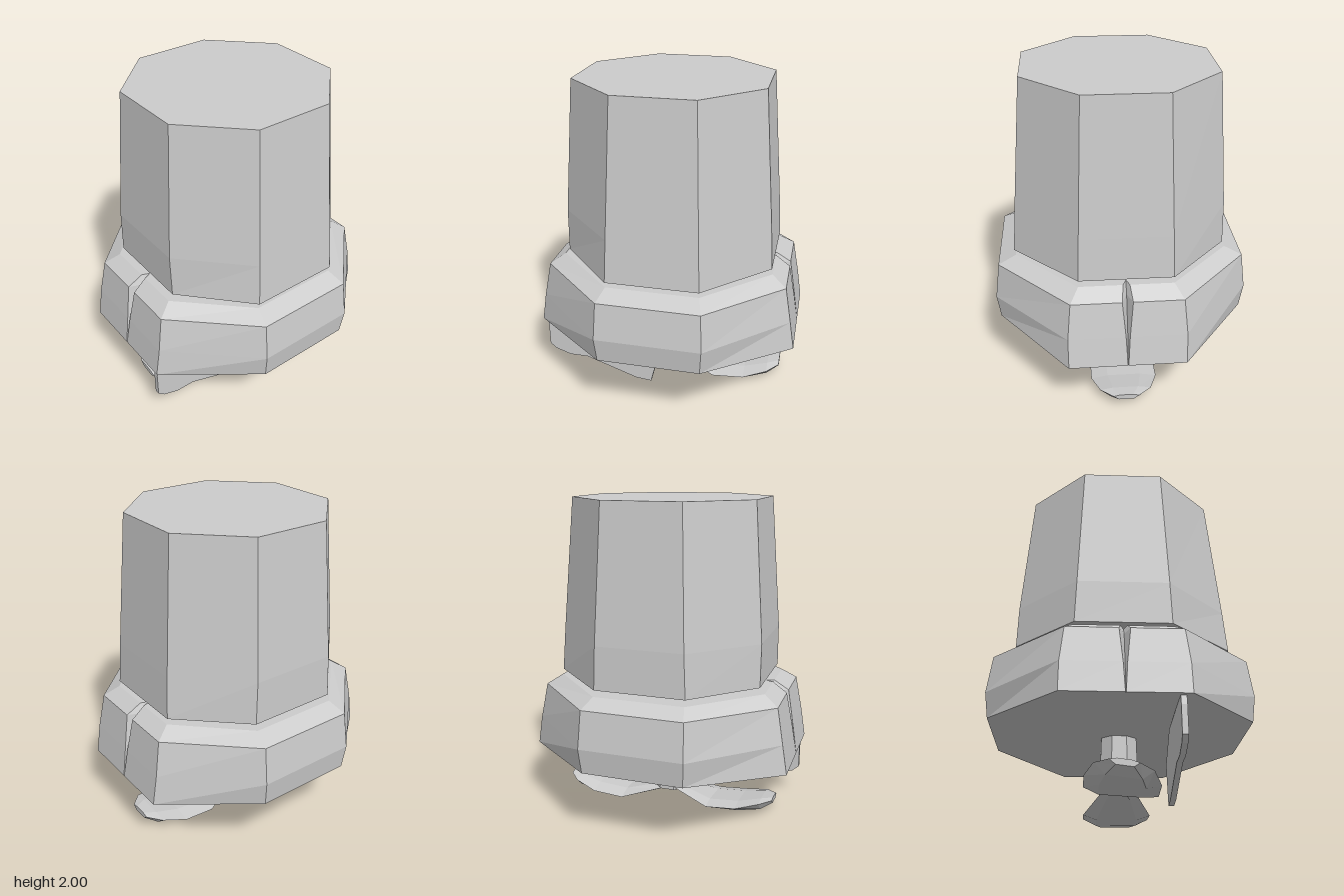
import * as THREE from 'three';

const material = new THREE.MeshStandardMaterial({ color: 0xcccccc, flatShading: true });

// Skin a stack of closed rings and close both ends with fans
function loft(rings) {
  const pos = [];
  const tri = (...pts) => pts.forEach((p) => pos.push(...p));
  const mid = (r) => [0, 1, 2].map((k) => r.reduce((s, p) => s + p[k], 0) / r.length);
  const n = rings[0].length;
  const first = rings[0], last = rings[rings.length - 1];
  for (let i = 0; i < n; i++) {
    const j = (i + 1) % n;
    for (let k = 0; k + 1 < rings.length; k++) {
      const a = rings[k], b = rings[k + 1];
      tri(a[i], a[j], b[j]);
      tri(a[i], b[j], b[i]);
    }
    tri(mid(first), first[j], first[i]);
    tri(mid(last), last[i], last[j]);
  }
  const g = new THREE.BufferGeometry();
  g.setAttribute('position', new THREE.Float32BufferAttribute(pos, 3));
  g.computeVertexNormals();
  return g;
}

function add(group, name, geometry) {
  const mesh = new THREE.Mesh(geometry, material);
  mesh.name = name;
  group.add(mesh);
  return mesh;
}

// Octagon ring, counter-clockwise from above: flats at x0, x1, z0, z1, half edge c
const octagon = (y, x0, x1, z0, z1, c) => [
  [x1, y, c], [x1, y, -c], [c, y, z0], [-c, y, z0],
  [x0, y, -c], [x0, y, c], [-c, y, z1], [c, y, z1],
];

// Octagon ring with a V notch of half width w and depth d on both sides
const notched = (yx, yz, X, cz, Z, cx, w, d) => [
  [X, yx, cz], [X, yx, w], [X - d, yx, 0], [X, yx, -w], [X, yx, -cz],
  [cx, yz, -Z], [-cx, yz, -Z],
  [-X, yx, -cz], [-X, yx, -w], [-X + d, yx, 0], [-X, yx, w], [-X, yx, cz],
  [-cx, yz, Z], [cx, yz, Z],
];

// Paddle stations along x: x, half width, edge height, top, bottom; tilt lifts one edge
function paddle(stations, tilt) {
  return loft(stations.map(([x, w, edge, top, bottom]) =>
    [[top, -0.5], [top, 0.5], [edge, 1], [bottom, 0.6], [bottom, -0.6], [edge, -1]]
      .map(([y, s]) => [x, Math.max(0, y + tilt * s * Math.min(1, w / 0.2)), s * w])));
}

export function createModel() {
  const group = new THREE.Group();

  // Tapered eight-sided upper body
  add(group, 'upperBody', loft([
    octagon(0.915, -0.63, 0.655, -0.635, 0.66, 0.28),
    octagon(1.18, -0.63, 0.637, -0.63, 0.64, 0.27),
    octagon(2.0, -0.57, 0.57, -0.57, 0.57, 0.24),
  ]));

  // Wide bevelled collar with a slit on each side
  add(group, 'collar', loft([
    notched(0.415, 0.445, 0.82, 0.35, 0.77, 0.31, 0.002, 0.01),
    notched(0.6, 0.6, 0.79, 0.35, 0.79, 0.32, 0.012, 0.03),
    notched(0.82, 0.83, 0.75, 0.33, 0.76, 0.31, 0.032, 0.08),
    notched(0.88, 0.88, 0.66, 0.28, 0.65, 0.28, 0.02, 0.05),
  ]));

  // Shaft below the collar
  const shaft = new THREE.CylinderGeometry(0.115, 0.125, 0.34, 8);
  shaft.rotateY(Math.PI / 8);
  add(group, 'shaft', shaft).position.set(0.01, 0.26, 0);

  // Two curved paddle blades
  const right = [
    [-0.03, 0.06, 0.115, 0.13, 0.09],
    [0.06, 0.12, 0.09, 0.11, 0.07],
    [0.3, 0.21, 0.03, 0.05, 0.0],
    [0.5, 0.21, 0.045, 0.065, 0.005],
    [0.65, 0.16, 0.08, 0.095, 0.025],
    [0.725, 0.08, 0.09, 0.1, 0.065],
  ];
  add(group, 'leftBlade', paddle(right, 0));
  const left = right.map(([x, ...rest]) => [x * 0.953, ...rest]);
  add(group, 'rightBlade', paddle(left, 0.025)).rotation.y = Math.PI;

  // Thin upright plate hanging in front of the blades
  const outline = [
    [-0.79, 0.415], [-0.8, 0.36], [-0.8, 0.2], [-0.76, 0.165], [-0.66, 0.13], [-0.54, 0.13],
    [-0.2, 0.01], [-0.1, 0], [-0.035, 0.26], [-0.25, 0.415],
  ].map(([x, y]) => new THREE.Vector2(x, y));
  const plate = new THREE.ExtrudeGeometry(new THREE.Shape(outline), { depth: 0.033, bevelEnabled: false });
  add(group, 'frontPlate', plate).position.z = 0.285;

  return group;
}
